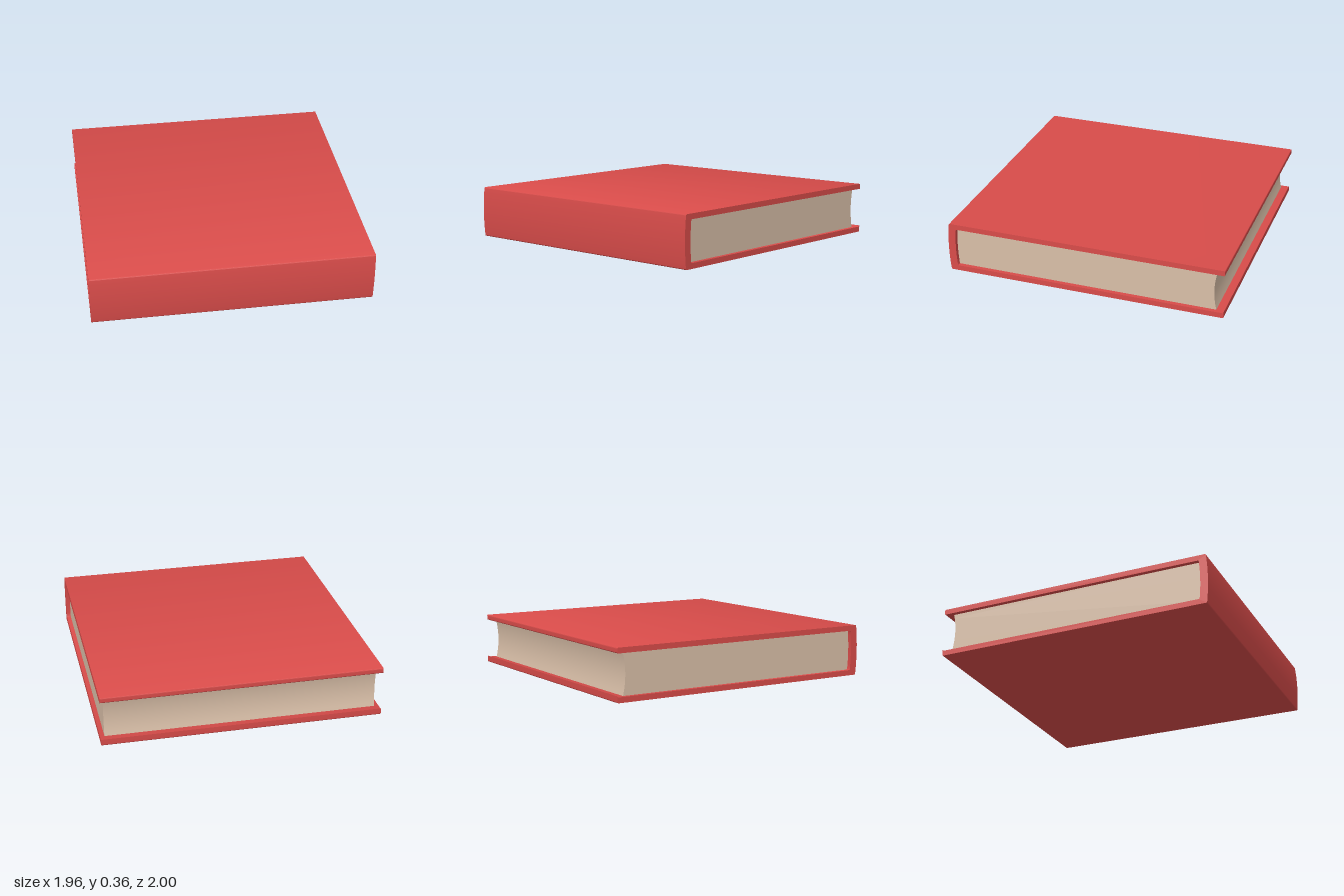
import * as THREE from 'three';
import { toCreasedNormals } from 'three/addons/utils/BufferGeometryUtils.js';

const HEIGHT = 0.362, BOARD = 0.038, MID = HEIGHT / 2;
const LOW = BOARD, HIGH = HEIGHT - BOARD;

// Extrudes a (z, y) profile along x, centred on x = 0
function extrudeAlongX(name, shape, width, color) {
  const geometry = new THREE.ExtrudeGeometry(shape, { depth: width, bevelEnabled: false, curveSegments: 10 });
  geometry.translate(0, 0, -width / 2);
  geometry.rotateY(-Math.PI / 2);
  const mesh = new THREE.Mesh(
    toCreasedNormals(geometry, 0.6),
    new THREE.MeshStandardMaterial({ color })
  );
  mesh.name = name;
  return mesh;
}

// C-shaped case: two boards joined by a gently bowed spine
function coverShape() {
  const r = 0.008, back = -1, spine = 0.989, inner = 0.938;
  const s = new THREE.Shape();
  s.moveTo(back + r, 0);
  s.lineTo(spine - r, 0);
  s.quadraticCurveTo(spine, 0, spine + 0.001, r);
  s.quadraticCurveTo(1.01, MID, spine + 0.001, HEIGHT - r);
  s.quadraticCurveTo(spine, HEIGHT, spine - r, HEIGHT);
  s.lineTo(back + r, HEIGHT);
  s.quadraticCurveTo(back, HEIGHT, back, HEIGHT - r);
  s.lineTo(back, HIGH + r);
  s.quadraticCurveTo(back, HIGH, back + r, HIGH);
  s.lineTo(inner - r, HIGH);
  s.quadraticCurveTo(inner, HIGH, inner + 0.001, HIGH - r);
  s.quadraticCurveTo(0.953, MID, inner + 0.001, LOW + r);
  s.quadraticCurveTo(inner, LOW, inner - r, LOW);
  s.lineTo(back + r, LOW);
  s.quadraticCurveTo(back, LOW, back, LOW + r);
  s.lineTo(back, r);
  s.quadraticCurveTo(back, 0, back + r, 0);
  return s;
}

// Page block: rounded at the spine, hollowed at the fore edge
function pagesShape() {
  const r = 0.008, spine = 0.938, fore = -0.942;
  const s = new THREE.Shape();
  s.moveTo(fore, LOW);
  s.lineTo(spine - r, LOW);
  s.quadraticCurveTo(spine, LOW, spine + 0.001, LOW + r);
  s.quadraticCurveTo(0.953, MID, spine + 0.001, HIGH - r);
  s.quadraticCurveTo(spine, HIGH, spine - r, HIGH);
  s.lineTo(fore, HIGH);
  s.quadraticCurveTo(-0.906, MID, fore, LOW);
  return s;
}

export function createModel() {
  const book = new THREE.Group();
  book.name = 'book';
  book.add(extrudeAlongX('cover', coverShape(), 1.96, 0xd94c4a));
  book.add(extrudeAlongX('pages', pagesShape(), 1.9, 0xd9bfa8));
  return book;
}
